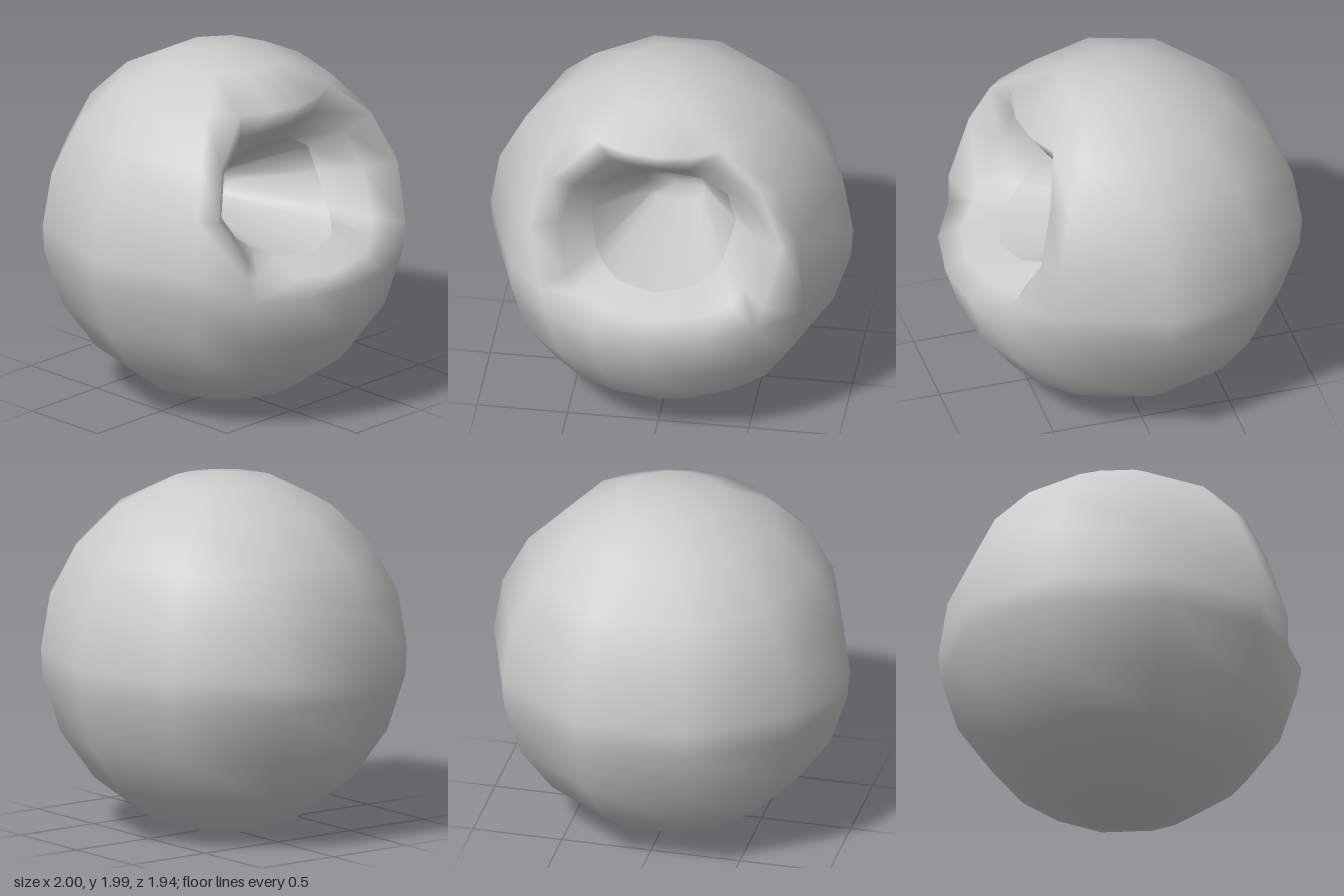
import * as THREE from 'three';
import { mergeVertices } from 'three/addons/utils/BufferGeometryUtils.js';

const RAD = Math.PI / 180;
const ROWS = [0, 18, 36, 54, 72, 90, 99, 117, 135, 153, 171, 180]; // angles from the top
const COLS = [-162, -126, -90, -54, -36, -18, 0, 18, 36, 54, 90, 126, 162, 198]; // angles from the front
const TOP = 2, BOTTOM = 6, LEFT = 4, RIGHT = 8; // grid window left open for the mouth
const SIDE = { 3: 46, 4: 47, 5: 38 }; // the window bulges sideways on these rows

// Point on the low-poly ball, flattened slightly at the bottom
function ballPoint(r, c) {
  let lon = COLS[c];
  if ((c === LEFT || c === RIGHT) && SIDE[r]) lon = Math.sign(lon) * SIDE[r];
  const a = ROWS[r] * RAD, s = Math.sin(a), h = Math.cos(a);
  const y = h > 0 ? 1 + 0.985 * h : Math.max(0, 1 + h / Math.cos(9 * RAD));
  return new THREE.Vector3(s * Math.sin(lon * RAD), y, s * Math.cos(lon * RAD) - 0.02);
}

// Collects triangles and welds them into one smooth surface
function surface(name, fill) {
  const pos = [];
  const tri = (...pts) => {
    const [a, b, c] = pts;
    if (a.distanceTo(b) < 1e-5 || b.distanceTo(c) < 1e-5 || c.distanceTo(a) < 1e-5) return;
    pts.forEach((p) => pos.push(p.x, p.y, p.z));
  };
  fill(tri);
  let geo = new THREE.BufferGeometry();
  geo.setAttribute('position', new THREE.Float32BufferAttribute(pos, 3));
  geo = mergeVertices(geo, 1e-4);
  geo.computeVertexNormals();
  const mat = new THREE.MeshStandardMaterial({ color: 0xcccccc, side: THREE.DoubleSide });
  const mesh = new THREE.Mesh(geo, mat);
  mesh.name = name;
  return mesh;
}

// Strip between an outer loop and the next loop inward
function strip(tri, outer, inner) {
  outer.forEach((o, i) => {
    const k = (i + 1) % outer.length;
    tri(o, outer[k], inner[k]);
    tri(o, inner[k], inner[i]);
  });
}

export function createModel() {
  // Edge of the window, anticlockwise from its lower left corner
  const edge = [];
  for (let c = LEFT; c <= RIGHT; c++) edge.push(ballPoint(BOTTOM, c));
  for (let r = BOTTOM - 1; r > TOP; r--) edge.push(ballPoint(r, RIGHT));
  for (let c = RIGHT; c >= LEFT; c--) edge.push(ballPoint(TOP, c));
  for (let r = TOP + 1; r < BOTTOM; r++) edge.push(ballPoint(r, LEFT));

  // Squarish oval loop matching the points of the window edge
  const oval = (cy, w, h, depth) => edge.map((p) => {
    const a = Math.atan2((p.y - 1.3) / 0.5, p.x / 0.65);
    const soft = (v) => Math.sign(v) * Math.pow(Math.abs(v), 0.8);
    const y = cy + h * soft(Math.sin(a));
    return new THREE.Vector3(w * soft(Math.cos(a)), y, depth(y));
  });
  const rim = oval(1.23, 0.4, 0.27, (y) => 0.28 + 0.38 * Math.pow((1.5 - y) / 0.54, 4));
  const lip = edge.map((p, i) => {
    const m = p.clone().lerp(rim[i], 0.5);
    m.z = THREE.MathUtils.lerp(p.z, rim[i].z, 0.38);
    return m;
  });

  // Ball with the lip rolling into the mouth
  const body = surface('body', (tri) => {
    for (let r = 0; r < ROWS.length - 1; r++) {
      for (let c = 0; c < COLS.length - 1; c++) {
        if (r >= TOP && r < BOTTOM && c >= LEFT && c < RIGHT) continue;
        const a = ballPoint(r, c), b = ballPoint(r, c + 1);
        const d = ballPoint(r + 1, c), e = ballPoint(r + 1, c + 1);
        tri(a, d, e);
        tri(a, e, b);
      }
    }
    strip(tri, edge, lip);
    strip(tri, lip, rim);
  });

  // Tapered hollow behind the rim, closed at the back
  const mouth = surface('mouthCavity', (tri) => {
    const back = oval(1.12, 0.16, 0.1, () => -0.15);
    strip(tri, rim, back);
    strip(tri, back, back.map(() => new THREE.Vector3(0, 1.12, -0.17)));
  });

  const model = new THREE.Group();
  model.name = 'hollowBall';
  model.add(body, mouth);
  return model;
}
